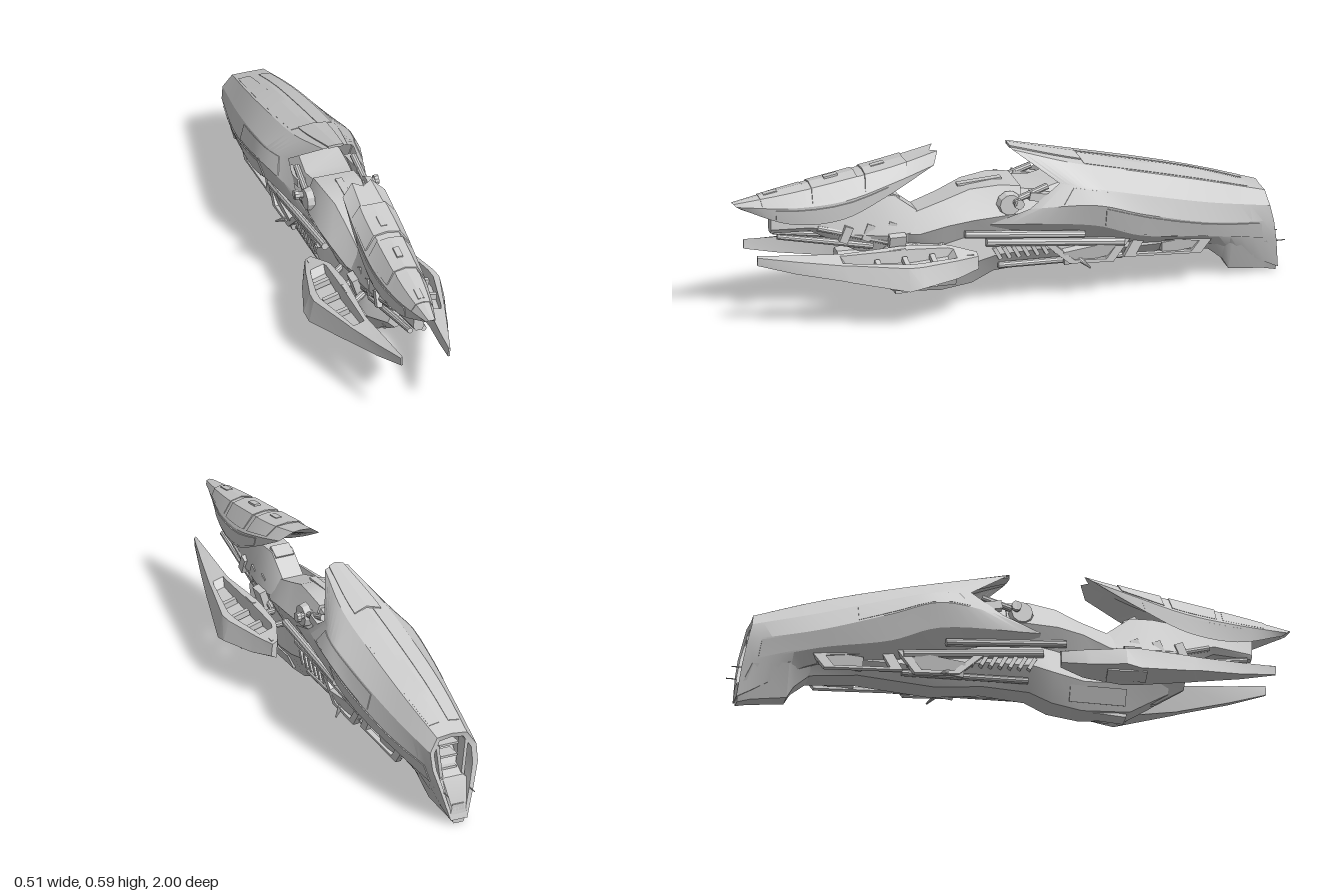
import * as THREE from 'three';
import { toCreasedNormals } from 'three/addons/utils/BufferGeometryUtils.js';

const mat = new THREE.MeshStandardMaterial({ color: 0xcccccc, side: THREE.DoubleSide });
const V = (p) => new THREE.Vector3(...p);

export function createModel() {
  const model = new THREE.Group();

  const add = (name, geo, crease = 0.45) => {
    const mesh = new THREE.Mesh(toCreasedNormals(geo, crease), mat);
    mesh.name = name;
    model.add(mesh);
    return mesh;
  };

  // Skin over closed loops of points, listed front to back, counterclockwise from the front
  function loft(sections, capFront = true) {
    const n = sections[0].length, idx = [];
    sections.slice(1).forEach((_, i) => {
      for (let j = 0; j < n; j++) {
        const a = i * n + j, b = i * n + (j + 1) % n;
        idx.push(a, a + n, b, b, a + n, b + n);
      }
    });
    const last = (sections.length - 1) * n;
    for (let j = 1; j < n - 1; j++) {
      if (capFront) idx.push(0, j, j + 1);
      idx.push(last, last + j + 1, last + j);
    }
    const geo = new THREE.BufferGeometry();
    geo.setAttribute('position', new THREE.Float32BufferAttribute(sections.flat(2), 3));
    geo.setIndex(idx);
    return geo;
  }

  const mirrorHalf = (half) => [...half,
    ...half.slice().reverse().filter((p) => p[0] > 0.001).map(([x, y, z]) => [-x, y, z])];

  // Six-sided hull: rows of [z, bottom half width, y, middle half width, y, top half width, y]
  const hull = (name, rows) => add(name, loft(rows.map(([z, wb, yb, wm, ym, wt, yt]) =>
    mirrorHalf([[wb, yb, z], [wm, ym, z], [wt, yt, z]]))));

  // Smooth shell along rails that run front to back, ordered from underside to ridge
  const toCurves = (rails) => rails.map((r) => new THREE.CatmullRomCurve3(r.map(V), false, 'centripetal'));
  const sample = (rails, steps) => {
    const curves = toCurves(rails);
    return Array.from({ length: steps + 1 }, (_, i) =>
      mirrorHalf(curves.map((c) => c.getPoint(i / steps).toArray())));
  };

  // Raised plate over rails r0..r1 (fractional ends allowed) and stations t0..t1
  function plate(name, rails, r0, r1, t0, t1, lift = 0.005) {
    const curves = toCurves(rails);
    const stops = [r0];
    for (let r = Math.floor(r0) + 1; r < r1; r++) stops.push(r);
    stops.push(r1);
    const point = (r, t, off, side) => {
      const k = Math.min(Math.floor(r), rails.length - 2);
      const p = curves[k].getPoint(t).lerp(curves[k + 1].getPoint(t), r - k);
      const low = curves[0].getPoint(t), high = curves[rails.length - 1].getPoint(t);
      const dir = new THREE.Vector3(p.x, p.y - (low.y + high.y) / 2, 0).normalize();
      p.addScaledVector(dir, off);
      return [p.x * side, p.y, p.z];
    };
    for (const side of [1, -1]) {
      const sections = [];
      for (let i = 0; i <= 6; i++) {
        const t = t0 + (t1 - t0) * i / 6;
        const s = [...stops.map((r) => point(r, t, lift, side)),
          ...stops.slice().reverse().map((r) => point(r, t, -0.004, side))];
        sections.push(side > 0 ? s : s.reverse());
      }
      add(name, loft(sections));
    }
  }

  // Mirrored boxes, rods and open side frames
  function boxes(name, size, pos, rot = [0, 0, 0]) {
    for (const s of pos[0] ? [1, -1] : [1]) {
      const m = add(name, new THREE.BoxGeometry(...size));
      m.position.set(pos[0] * s, pos[1], pos[2]);
      m.rotation.set(rot[0], rot[1] * s, rot[2] * s);
    }
  }
  function rods(name, a, b, r, r2 = r) {
    for (const s of [1, -1]) {
      const p = V([a[0] * s, a[1], a[2]]), q = V([b[0] * s, b[1], b[2]]);
      const m = add(name, new THREE.CylinderGeometry(r2, r, p.distanceTo(q), 10));
      m.position.copy(p).lerp(q, 0.5);
      m.quaternion.setFromUnitVectors(new THREE.Vector3(0, 1, 0), q.sub(p).normalize());
    }
  }
  function frames(name, x, corners) {
    const pts = corners.map(([z, y]) => new THREE.Vector2(-z, y));
    const mid = pts.reduce((sum, p) => sum.add(p), new THREE.Vector2()).divideScalar(pts.length);
    const shape = new THREE.Shape(pts);
    shape.holes.push(new THREE.Path(pts.map((p) => p.clone().lerp(mid, 0.28))));
    for (const s of [1, -1]) {
      const m = add(name, new THREE.ExtrudeGeometry(shape, { depth: 0.02, bevelEnabled: false }));
      m.rotation.y = Math.PI / 2;
      m.position.x = s * x - 0.01;
    }
  }

  // Rear cowl with a recessed exhaust opening
  const rear = [
    [[.07, .28, .08], [.085, .23, -.25], [.08, .18, -.45], [.07, .15, -.7], [.032, .015, -.98]],
    [[.11, .32, .09], [.15, .29, -.28], [.14, .23, -.45], [.115, .19, -.7], [.065, .13, -.965]],
    [[.13, .37, -.05], [.178, .375, -.28], [.168, .32, -.45], [.136, .25, -.7], [.088, .21, -.95]],
    [[.12, .45, -.16], [.15, .43, -.27], [.147, .385, -.45], [.122, .32, -.7], [.09, .27, -.935]],
    [[.045, .565, -.01], [.08, .505, -.22], [.085, .45, -.45], [.078, .385, -.7], [.058, .318, -.925]],
    [[0, .575, 0], [0, .525, -.2], [0, .465, -.45], [0, .4, -.7], [0, .322, -.92]],
  ];
  const rearSections = sample(rear, 24);
  const rim = rearSections[24];
  const inset = (k, dz) => rim.map(([x, y, z]) => [x * k, 0.18 + (y - 0.18) * (k + 0.08), z + dz]);
  rearSections.push(inset(0.8, 0.005), inset(0.75, 0.16));
  add('rearCowl', loft(rearSections, false), 0.35);
  plate('rearSidePanel', rear, 2.1, 2.9, 0.12, 0.62, 0.003);
  plate('rearSkirtPanel', rear, 1.1, 1.9, 0.3, 0.95, 0.004);
  plate('rearTopPanel', rear, 4.1, 4.75, 0.3, 0.93, 0.002);
  plate('seatBackSpine', rear, 4.4, 5, 0.0, 0.3, 0.006);

  // Exhaust details inside the rear opening
  for (let i = 0; i < 5; i++) boxes('exhaustVane', [.075 - i * .009, .008, .06], [0, .27 - i * .045, -.87]);
  boxes('exhaustStrut', [.012, .2, .05], [.045, .19, -.9], [0, 0, -.12]);
  boxes('tailLight', [.045, .025, .04], [0, .06, -.955]);

  // Tail foot
  hull('tailFoot', [
    [-.72, .04, .115, .09, .18, .06, .2],
    [-.775, .035, .07, .085, .16, .06, .22],
    [-.8, .03, .028, .08, .14, .06, .22],
    [-.93, .024, .012, .07, .13, .04, .16],
    [-.975, .018, 0, .033, .03, .025, .06],
  ]);
  rods('antenna', [.05, .12, -.93], [.05, .12, -1], .002);

  // Front cowl, hollow below and rising to a thin swept tail
  const front = [
    [[0, .44, .96], [0, .435, .8], [0, .455, .62], [0, .495, .47], [0, .545, .34]],
    [[.012, .437, .97], [.055, .378, .8], [.082, .385, .62], [.085, .46, .45], [.078, .537, .31]],
    [[.018, .448, .985], [.062, .44, .8], [.084, .455, .61], [.085, .505, .43], [.078, .552, .285]],
    [[.012, .458, .995], [.036, .486, .8], [.043, .518, .6], [.044, .55, .42], [.035, .588, .26]],
    [[0, .46, 1], [0, .494, .8], [0, .524, .6], [0, .553, .42], [0, .58, .28]],
  ];
  add('frontCowl', loft(sample(front, 20)), 0.35);
  plate('frontNosePanel', front, 2.2, 4, 0.12, 0.32, 0.003);
  plate('frontMiddlePanel', front, 2.2, 4, 0.35, 0.56, 0.005);
  plate('frontRearPanel', front, 2.2, 4, 0.6, 0.82, 0.006);
  plate('frontSidePanel', front, 1.15, 1.85, 0.18, 0.72, 0.003);
  for (const [y, z] of [[.482, .86], [.522, .64], [.546, .47]]) boxes('ridgeLatch', [.022, .012, .05], [0, y, z], [.17, 0, 0]);

  // Front fork: upper beam, paired lower arms and steering column
  hull('frontFork', [
    [.86, .012, .335, .02, .35, .015, .42],
    [.72, .03, .335, .05, .355, .04, .42],
    [.6, .035, .27, .06, .32, .04, .43],
    [.5, .035, .22, .075, .31, .045, .44],
    [.42, .04, .21, .08, .3, .04, .44],
    [.33, .04, .24, .07, .31, .04, .37],
  ]);
  rods('forkArm', [.05, .265, .5], [.025, .325, .84], .014, .01);
  rods('forkLink', [.065, .25, .36], [.045, .35, .7], .012);
  for (const z of [.44, .52, .6]) boxes('forkRib', [.02, .06, .03], [.06, .32, z], [-.4, 0, 0]);
  boxes('dashboard', [.07, .05, .05], [0, .42, .43], [-.5, 0, 0]);

  // Tank and seat
  hull('tank', [
    [.42, .03, .26, .06, .3, .03, .35],
    [.34, .05, .23, .085, .3, .045, .372],
    [.24, .07, .24, .108, .33, .05, .405],
    [.15, .07, .25, .12, .345, .06, .44],
    [.05, .07, .25, .12, .35, .075, .45],
    [-.03, .07, .25, .11, .35, .075, .44],
  ]);
  hull('seat', [
    [-.02, .07, .25, .11, .34, .07, .43],
    [-.1, .07, .25, .115, .34, .08, .42],
    [-.18, .07, .25, .12, .36, .075, .44],
    [-.35, .06, .25, .11, .34, .05, .43],
  ]);
  boxes('tankStrip', [.025, .008, .16], [0, .445, .1], [.06, 0, 0]);

  // Handlebars with round pivots
  rods('handlebar', [.06, .4, .01], [.155, .4, -.005], .012);
  rods('handlebarPivot', [.1, .39, .02], [.125, .39, .02], .045, .038);
  rods('handGrip', [.14, .4, -.005], [.155, .4, -.005], .018);
  rods('controlArm', [.11, .4, 0], [.105, .44, -.12], .012);
  boxes('seatBracket', [.03, .03, .14], [.11, .4, -.12], [-.2, 0, 0]);

  // Lower body
  hull('keel', [
    [.56, .02, .17, .04, .2, .02, .24],
    [.5, .035, .13, .075, .19, .045, .25],
    [.42, .04, .08, .085, .17, .06, .26],
    [.25, .045, .068, .09, .16, .07, .27],
    [.14, .05, .085, .1, .18, .08, .28],
    [.06, .045, .12, .1, .2, .085, .29],
    [-.1, .04, .13, .09, .2, .09, .27],
    [-.28, .045, .11, .085, .17, .08, .25],
    [-.55, .045, .13, .085, .17, .07, .21],
    [-.76, .04, .11, .07, .16, .06, .2],
  ]);
  boxes('keelPlate', [.06, .012, .18], [0, .075, .32], [.06, 0, 0]);
  boxes('keelSidePlate', [.012, .06, .2], [.07, .12, .3], [0, 0, -.42]);
  hull('prow', [
    [.62, .004, .2, .03, .225, .02, .245],
    [.52, .008, .135, .07, .2, .04, .25],
    [.4, .02, .1, .08, .19, .05, .27],
  ]);

  // Side engines beneath the rear cowl
  for (let i = 0; i < 7; i++) boxes('engineRib', [.025, .05, .014], [.092, .205, .06 - i * .034], [.5, 0, 0]);
  boxes('engineBlock', [.04, .055, .2], [.085, .175, -.28], [.12, 0, -.25]);
  frames('engineFrame', .098, [[-.1, .23], [-.42, .21], [-.36, .13], [-.2, .14]]);
  frames('rearFrame', .09, [[-.44, .21], [-.72, .175], [-.68, .125], [-.4, .14]]);
  boxes('rearBlock', [.035, .045, .16], [.075, .165, -.62], [.08, 0, -.2]);
  rods('exhaustPipe', [.095, .25, .1], [.1, .2, -.4], .016);
  rods('lowerPipe', [.075, .15, .05], [.075, .14, -.4], .012);
  rods('sideRail', [.105, .29, .18], [.12, .25, -.25], .014);
  rods('footSpike', [.085, .155, -.23], [.13, .125, -.27], .012, .003);

  // Side blades at the front: corners inner bottom, outer bottom, outer top, inner top, recess depth
  const blade = [
    [.93, .083, .25, .09, .25, .092, .28, .085, .285, 0],
    [.8, .1, .215, .133, .22, .13, .265, .095, .277, 0],
    [.64, .122, .18, .185, .195, .175, .25, .11, .27, 0],
    [.62, .125, .175, .19, .19, .18, .25, .112, .27, .03],
    [.42, .13, .143, .25, .155, .233, .237, .102, .272, .045],
    [.37, .13, .14, .253, .165, .23, .235, .102, .27, .045],
    [.25, .135, .15, .215, .17, .2, .232, .11, .262, .03],
    [.23, .137, .153, .209, .172, .196, .232, .115, .258, 0],
    [.15, .155, .175, .175, .185, .17, .23, .15, .24, 0],
  ];
  for (const s of [1, -1]) {
    const sections = blade.map(([z, ax, ay, bx, by, cx, cy, dx, dy, depth]) => {
      const top = [[0, 0], [.18, 0], [.22, depth], [.78, depth], [.82, 0], [1, 0]]
        .map(([t, d]) => [cx + (dx - cx) * t, cy + (dy - cy) * t - d]);
      const pts = [[ax, ay], [bx, by], ...top].map(([x, y]) => [x * s, y, z]);
      return s > 0 ? pts : pts.reverse();
    });
    add('sideBlade', loft(sections), 0.3);
  }
  for (const z of [.31, .41, .51]) boxes('bladeRib', [.06, .02, .018], [.165, .228, z], [0, 0, -.27]);
  boxes('bladeUnderPanel', [.07, .006, .14], [.185, .151, .38], [0, .1, .12]);
  boxes('bladeInnerRail', [.014, .03, .2], [.113, .25, .5], [.05, -.05, 0]);
  boxes('bladeHinge', [.025, .045, .05], [.155, .215, .19]);
  for (const z of [.28, .38, .48]) rods('bladeStrut', [.06, .25, z - .03], [.12, .23, z], .012);
  boxes('bladeMount', [.025, .08, .06], [.078, .27, .42], [0, 0, -.3]);

  return model;
}
